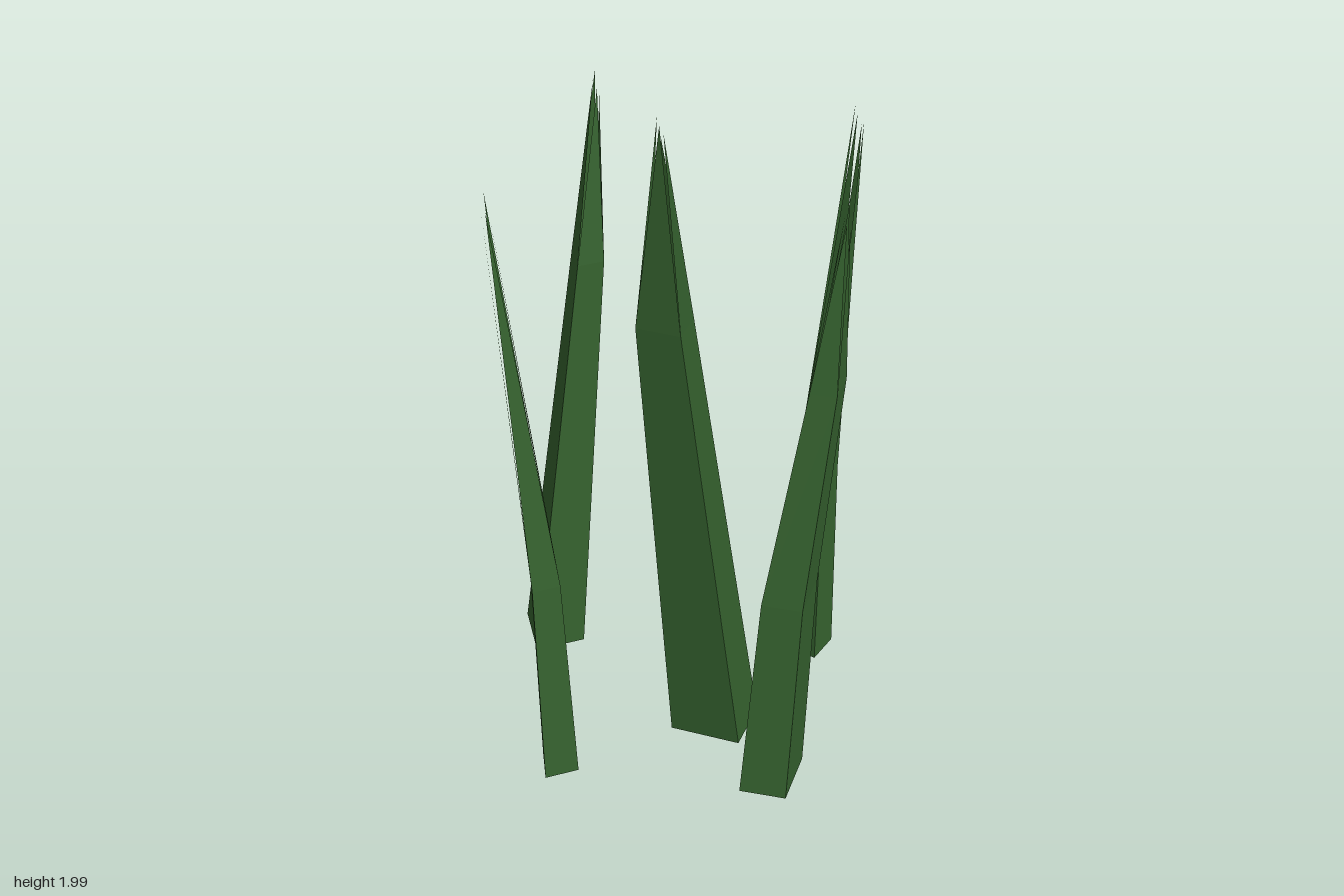
import * as THREE from 'three';

const BASE_Y = 0.01;

// base: four [x, z] corners; rings: [x, y, z, scale] of the kinks; tip: [x, y, z]
const TUFTS = [
  { name: 'backLeftTuft', base: [[-0.32, -0.37], [-0.43, -0.32], [-0.38, -0.17], [-0.26, -0.23]],
    rings: [[-0.24, 1.21, -0.295, 0.52]], tip: [-0.215, 1.72, -0.325], spread: 0.12 },
  { name: 'frontLeftTuft', base: [[-0.23, 0.195], [-0.3, 0.24], [-0.28, 0.33], [-0.2, 0.29]],
    rings: [[-0.28, 0.6, 0.25, 0.82]], tip: [-0.4, 1.68, 0.205], spread: 0.25 },
  { name: 'centreTuft', base: [[0.055, -0.05], [0.02, 0.1], [0.2, 0.14], [0.235, 0]],
    rings: [[0.023, 1.4, 0.265, 0.6]], tip: [0.025, 2, 0.36], spread: 0.08 },
  { name: 'frontRightTuft', base: [[0.37, 0.18], [0.24, 0.17], [0.22, 0.32], [0.34, 0.335]],
    rings: [[0.325, 0.6, 0.23, 0.86], [0.4, 1.2, 0.19, 0.55]], tip: [0.432, 1.69, 0.18], spread: 0.1 },
  { name: 'backRightTuft', base: [[0.32, -0.36], [0.28, -0.28], [0.37, -0.225], [0.41, -0.31]],
    rings: [[0.355, 0.6, -0.295, 0.82]], tip: [0.428, 1.69, -0.295], spread: 0.25 },
];

// One blade: a strip on one side of the tuft that ends in its own point
function bladeGeometry({ base, rings, tip, spread }, side) {
  const cx = base.reduce((s, p) => s + p[0], 0) / 4;
  const cz = base.reduce((s, p) => s + p[1], 0) / 4;
  const a = base[side], b = base[(side + 1) % 4];
  const at = ([x, z], [rx, ry, rz, k]) => [rx + (x - cx) * k, ry, rz + (z - cz) * k];
  const levels = [[cx, BASE_Y, cz, 1], ...rings];
  const pos = [];
  for (let i = 0; i < levels.length - 1; i++) {
    const p = at(a, levels[i]), q = at(b, levels[i]);
    const p2 = at(a, levels[i + 1]), q2 = at(b, levels[i + 1]);
    pos.push(...p, ...q, ...q2, ...p, ...q2, ...p2);
  }
  const last = levels[levels.length - 1];
  const mid = [(a[0] + b[0]) / 2, (a[1] + b[1]) / 2];
  const point = at(mid, [tip[0], tip[1] - 0.02 * side, tip[2], spread]);
  pos.push(...at(a, last), ...at(b, last), ...point);
  const geo = new THREE.BufferGeometry();
  geo.setAttribute('position', new THREE.Float32BufferAttribute(pos, 3));
  geo.computeVertexNormals();
  return geo;
}

export function createModel() {
  const model = new THREE.Group();
  model.name = 'grass';
  const green = new THREE.MeshStandardMaterial({ color: 0x36632f, side: THREE.DoubleSide, flatShading: true });
  green.name = 'grass green';

  // Each tuft is a hollow ring of four pointed blades
  for (const tuft of TUFTS) {
    const group = new THREE.Group();
    group.name = tuft.name;
    for (let side = 0; side < 4; side++) {
      const blade = new THREE.Mesh(bladeGeometry(tuft, side), green);
      blade.name = 'blade';
      group.add(blade);
    }
    model.add(group);
  }
  return model;
}
